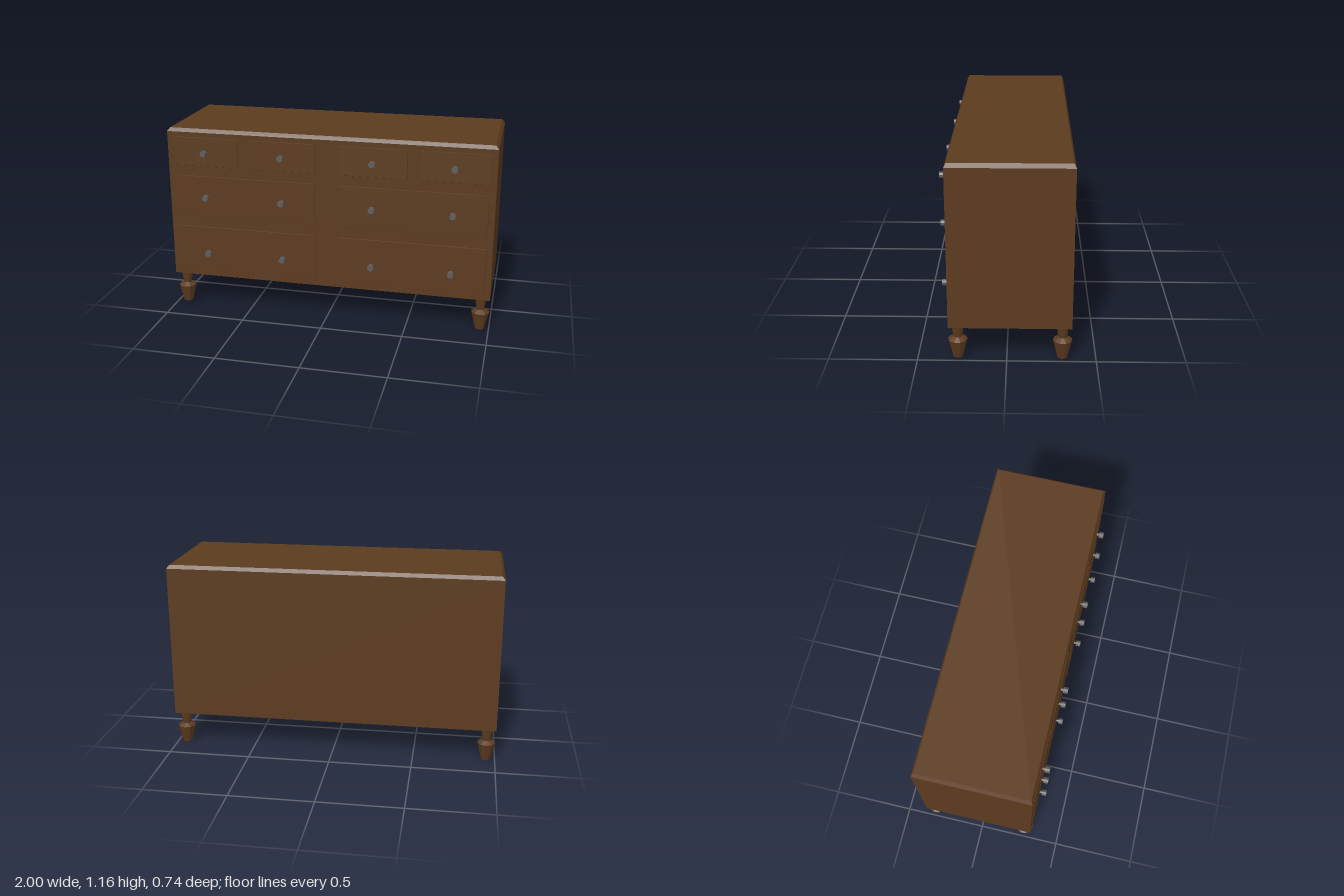
import * as THREE from 'three';

const wood = new THREE.MeshStandardMaterial({ color: 0x5c3b1f, flatShading: true });
const metal = new THREE.MeshStandardMaterial({ color: 0x5e5e5e, flatShading: true });

function add(parent, name, geometry, material, x = 0, y = 0, z = 0) {
  const mesh = new THREE.Mesh(geometry, material);
  mesh.name = name;
  mesh.position.set(x, y, z);
  parent.add(mesh);
  return mesh;
}

// Moves the vertices of a geometry by a rule, then gives it flat normals
function reshape(geometry, rule) {
  const p = geometry.attributes.position;
  const v = new THREE.Vector3();
  for (let i = 0; i < p.count; i++) {
    rule(v.fromBufferAttribute(p, i));
    p.setXYZ(i, v.x, v.y, v.z);
  }
  const flat = geometry.toNonIndexed();
  flat.computeVertexNormals();
  return flat;
}

const BOTTOM = 0.205, SHOULDER = 1.138, TOP = 1.16;
const FRONT = 0.325, BACK = -0.362;

// Carcass with a chamfered top edge
function carcassGeometry() {
  const h = TOP - BOTTOM;
  return reshape(new THREE.BoxGeometry(2, h, FRONT - BACK, 1, 2, 1), (v) => {
    if (v.y > 0.1) {
      v.x -= Math.sign(v.x) * 0.018;
      v.z -= Math.sign(v.z) * 0.012;
    } else if (v.y > -0.1) {
      v.y = SHOULDER - (TOP + BOTTOM) / 2;
    }
  });
}

// Thin drawer front with sloping edges
function drawerGeometry(w, h) {
  return reshape(new THREE.BoxGeometry(w, h, 0.008), (v) => {
    if (v.z > 0) {
      v.x -= Math.sign(v.x) * 0.004;
      v.y -= Math.sign(v.y) * 0.004;
    }
  });
}

// Knob: narrow stem and wider faceted head, pointing along +z
function makeKnob(x, y) {
  const knob = new THREE.Group();
  knob.name = 'knob';
  const stem = new THREE.CylinderGeometry(0.009, 0.009, 0.03, 8).rotateX(Math.PI / 2);
  const head = new THREE.CylinderGeometry(0.019, 0.019, 0.028, 10).rotateX(Math.PI / 2);
  add(knob, 'knobStem', stem, metal, 0, 0, 0.012);
  add(knob, 'knobHead', head, metal, 0, 0, 0.032);
  knob.position.set(x, y, FRONT);
  return knob;
}

export function createModel() {
  const model = new THREE.Group();
  model.name = 'chestOfDrawers';

  add(model, 'carcass', carcassGeometry(), wood, 0, (TOP + BOTTOM) / 2, (FRONT + BACK) / 2);

  // Drawer rows: bottom, top, knob height, and x spans on one half
  const rows = [
    { y0: 0.925, y1: 1.11, knobY: 1.015, spans: [[0.07, 0.487], [0.55, 0.968]] },
    { y0: 0.6, y1: 0.866, knobY: 0.733, spans: [[0.07, 0.966]] },
    { y0: 0.237, y1: 0.536, knobY: 0.366, spans: [[0.07, 0.966]] },
  ];
  for (const side of [-1, 1]) {
    for (const { y0, y1, knobY, spans } of rows) {
      for (const [x0, x1] of spans) {
        add(model, 'drawerFront', drawerGeometry(x1 - x0, y1 - y0), wood,
          side * (x0 + x1) / 2, (y0 + y1) / 2, FRONT);
      }
      for (const x of [0.278, 0.76]) model.add(makeKnob(side * x, knobY));
    }
  }

  // Turned feet
  const profile = [[0, 0], [0.029, 0], [0.055, 0.11], [0.026, 0.128], [0.036, 0.21], [0, 0.21]]
    .map(([r, y]) => new THREE.Vector2(r, y));
  const foot = new THREE.LatheGeometry(profile, 10);
  for (const x of [-0.944, 0.944]) {
    for (const z of [0.275, -0.312]) add(model, 'foot', foot, wood, x, 0, z);
  }
  return model;
}
